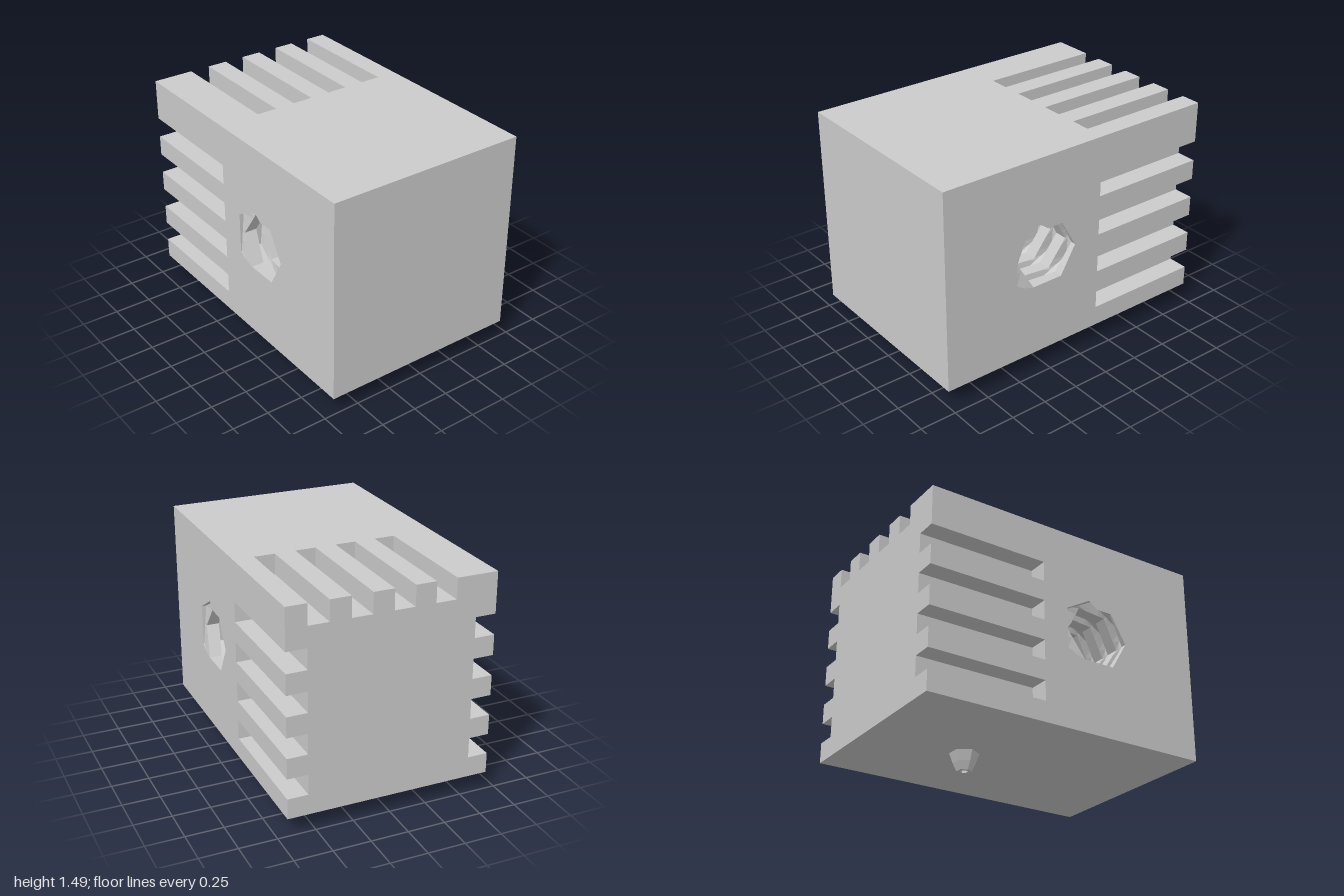
import * as THREE from 'three';

const H = 0.685, Y0 = 0.12, Y1 = 1.49, SLOT_END = -0.18; // half width, bottom, top, slot end
const U = 0.137;                                         // slot width and depth
const CY = 0.805, CZ = 0.235;                            // bore centre
const N = 24, GROOVE = 10 / N, PITCH = 2 * H / (9 + GROOVE);

const mat = new THREE.MeshStandardMaterial({ color: 0xcccccc, flatShading: true });

function add(group, name, geometry) {
  const mesh = new THREE.Mesh(geometry, mat);
  mesh.name = name;
  group.add(mesh);
  return mesh;
}

// Radius of a hexagon in direction a, with a corner at angle a0
function hexRadius(R, a, a0) {
  const s = Math.PI / 3;
  const d = (((a - a0) % s) + s) % s - s / 2;
  return R * Math.cos(s / 2) / Math.cos(d);
}

// Point on the threaded bore: angle a runs from +y towards +z
function borePoint(a, x) {
  const phase = a / (2 * Math.PI) + (H - x) / PITCH;
  const p = phase - Math.floor(phase);
  const f = THREE.MathUtils.clamp(Math.min(p, GROOVE - p) / 0.04, 0, 1);
  const r = THREE.MathUtils.lerp(hexRadius(0.22, a, Math.PI / 2), hexRadius(0.274, a, 0), f);
  return [x, CY + r * Math.cos(a), CZ + r * Math.sin(a)];
}

// Helical rows, trimmed at the two side faces
function boreGeometry() {
  const rows = [];
  for (let t = -1; t <= 11; t++)
    for (const k of [0, 0.04, GROOVE - 0.04, GROOVE]) rows.push(t + k);
  const pos = [], index = [];
  rows.forEach((p, i) => {
    for (let j = 0; j <= N; j++) {
      const x = THREE.MathUtils.clamp(H - PITCH * (p - j / N), -H, H);
      pos.push(...borePoint(j / N * 2 * Math.PI, x));
      if (i < rows.length - 1 && j < N) {
        const a = i * (N + 1) + j, c = a + N + 1;
        index.push(a, a + 1, c, a + 1, c + 1, c);
      }
    }
  });
  const g = new THREE.BufferGeometry();
  g.setAttribute('position', new THREE.Float32BufferAttribute(pos, 3));
  g.setIndex(index);
  g.computeVertexNormals();
  return g;
}

// Side wall with the bore opening cut out; s is the side (+1 or -1)
function sideGeometry(s) {
  const at = (z, y) => new THREE.Vector2(-s * z, y);
  const shape = new THREE.Shape([at(SLOT_END, Y0), at(1, Y0), at(1, Y1), at(SLOT_END, Y1)]);
  const rim = [];
  for (let j = 0; j < N; j++) {
    const [, y, z] = borePoint(j / N * 2 * Math.PI, s * H);
    rim.push(at(z, y));
  }
  shape.holes.push(new THREE.Path(rim));
  return new THREE.ShapeGeometry(shape).rotateY(s * Math.PI / 2).translate(s * H, 0, 0);
}

// Cross-section of the slotted rear: slots on both sides and the top
function rearShape() {
  const pts = [[-H, Y0], [H, Y0]];
  const sideSlots = [0, 1, 2, 3].map(i => Y0 + U + 2 * U * i);
  for (const y of sideSlots) pts.push([H, y], [H - U, y], [H - U, y + U], [H, y + U]);
  pts.push([H, Y1]);
  for (let i = 3; i >= 0; i--) {
    const x = -0.411 + 2 * U * i;
    pts.push([x + U, Y1], [x + U, Y1 - U], [x, Y1 - U], [x, Y1]);
  }
  pts.push([-H, Y1]);
  for (const y of sideSlots.reverse()) pts.push([-H, y + U], [U - H, y + U], [U - H, y], [-H, y]);
  return new THREE.Shape(pts.map(p => new THREE.Vector2(...p)));
}

export function createModel() {
  const model = new THREE.Group();
  model.name = 'slottedBlock';

  // Front half: box shell without its sides, bored side walls and thread
  const depth = 1 - SLOT_END;
  const shell = new THREE.BoxGeometry(2 * H, Y1 - Y0, depth);
  shell.setIndex(Array.from(shell.index.array).slice(12));
  add(model, 'frontShell', shell.translate(0, (Y0 + Y1) / 2, SLOT_END + depth / 2));
  add(model, 'leftWall', sideGeometry(1));
  add(model, 'rightWall', sideGeometry(-1));
  add(model, 'threadedBore', boreGeometry());

  // Slotted rear half
  const rear = new THREE.ExtrudeGeometry(rearShape(), { depth: SLOT_END + 1, bevelEnabled: false });
  add(model, 'slottedRear', rear.translate(0, 0, -1));

  // Small tapered hexagonal nozzle with a shallow recess
  const profile = [[0, 0.03], [0.026, 0.03], [0.026, 0], [0.048, 0], [0.073, 0.055], [0.096, Y0]];
  const nozzle = new THREE.LatheGeometry(profile.map(p => new THREE.Vector2(...p)), 6);
  add(model, 'nozzle', nozzle.rotateY(Math.PI / 2)).position.set(0.026, 0, -0.312);

  return model;
}
